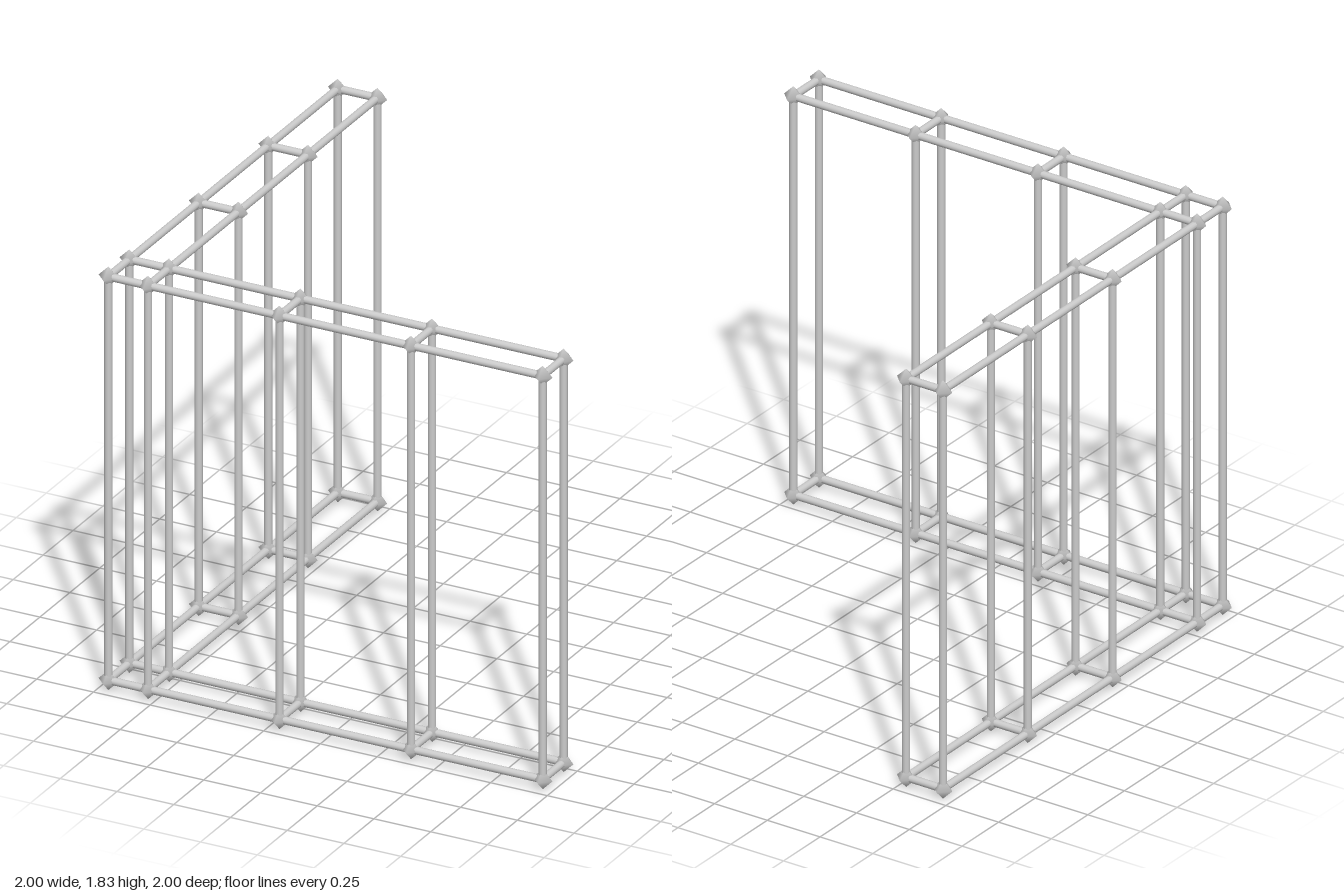
import * as THREE from 'three';
import { mergeVertices } from 'three/addons/utils/BufferGeometryUtils.js';

const TUBE = 0.016, NODE = 0.043;
const LOW = NODE, HIGH = 1.787;
// grid lines along x; the z lines mirror them
const LINES = [-0.957, -0.782, -0.203, 0.377, 0.957];

export function createModel() {
  const group = new THREE.Group();
  const material = new THREE.MeshStandardMaterial({ color: 0xcccccc });

  // smooth-shaded octahedral connector
  let nodeGeometry = new THREE.OctahedronGeometry(NODE);
  nodeGeometry.deleteAttribute('normal');
  nodeGeometry.deleteAttribute('uv');
  nodeGeometry = mergeVertices(nodeGeometry);
  nodeGeometry.computeVertexNormals();

  const up = new THREE.Vector3(0, 1, 0);
  function addTube(name, a, b) {
    const dir = b.clone().sub(a);
    const mesh = new THREE.Mesh(new THREE.CylinderGeometry(TUBE, TUBE, dir.length(), 12), material);
    mesh.name = name;
    mesh.position.copy(a).add(b).multiplyScalar(0.5);
    mesh.quaternion.setFromUnitVectors(up, dir.normalize());
    group.add(mesh);
  }

  // L-shaped plan: two bays wide of lines sharing a square corner
  const inPlan = (i, j) => i < 5 && j < 5 && (i < 2 || j < 2);
  const point = (i, j, y) => new THREE.Vector3(LINES[i], y, -LINES[j]);

  for (let i = 0; i < 5; i++) {
    for (let j = 0; j < 5; j++) {
      if (!inPlan(i, j)) continue;
      addTube('post', point(i, j, LOW), point(i, j, HIGH));
      for (const y of [LOW, HIGH]) {
        const level = y === LOW ? 'bottom' : 'top';
        const node = new THREE.Mesh(nodeGeometry, material);
        node.name = level + 'Connector';
        node.position.copy(point(i, j, y));
        group.add(node);
        // rails to the next connector in each direction
        if (inPlan(i + 1, j)) addTube(level + 'Rail', point(i, j, y), point(i + 1, j, y));
        if (inPlan(i, j + 1)) addTube(level + 'Rail', point(i, j, y), point(i, j + 1, y));
      }
    }
  }
  return group;
}
